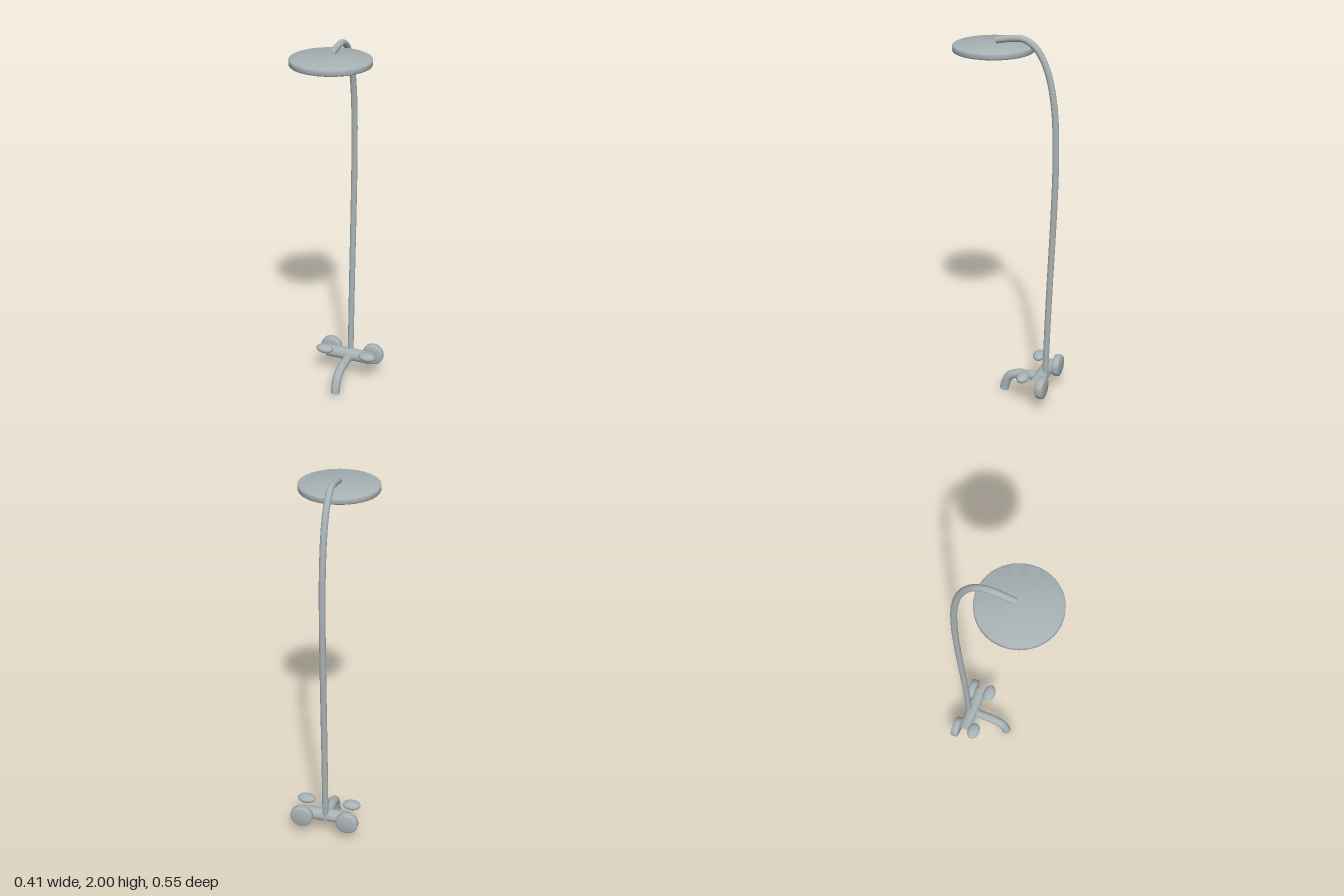
import * as THREE from 'three';
import { toCreasedNormals } from 'three/addons/utils/BufferGeometryUtils.js';

const metal = new THREE.MeshStandardMaterial({ color: 0xa8b2b4 });
metal.name = 'brushed metal';

function part(name, geometry, x = 0, y = 0, z = 0) {
  const mesh = new THREE.Mesh(geometry, metal);
  mesh.name = name;
  mesh.position.set(x, y, z);
  return mesh;
}

// Open pipe swept along a [z, y] path in the centre plane
function pipe(points, radius, segments) {
  const path = new THREE.CatmullRomCurve3(points.map(([z, y]) => new THREE.Vector3(0, y, z)));
  return new THREE.TubeGeometry(path, segments, radius, 24, false);
}

// Solid disc with softened rims, axis along y, centred
function disc(radius, height, bevel, segments) {
  const h = height / 2, k = bevel * 0.3;
  const profile = [
    [0, -h], [radius - bevel, -h], [radius - k, -h + k], [radius, -h + bevel],
    [radius, h - bevel], [radius - k, h - k], [radius - bevel, h], [0, h],
  ].map(([r, y]) => new THREE.Vector2(r, y));
  return toCreasedNormals(new THREE.LatheGeometry(profile, segments), 0.9);
}

export function createModel() {
  const model = new THREE.Group();
  model.name = 'showerColumn';

  // Tall riser that bows backwards and hooks over the head
  const riser = pipe([
    [-0.222, 0.113], [-0.237, 0.6], [-0.257, 1.13], [-0.261, 1.39], [-0.248, 1.66],
    [-0.207, 1.845], [-0.15, 1.943], [-0.085, 1.982], [-0.02, 1.98], [0.057, 1.966],
  ], 0.0165, 120);
  model.add(part('riserPipe', riser));

  // Rain head
  model.add(part('showerHead', disc(0.203, 0.033, 0.006, 72), 0, 1.929, 0.0725));

  // Mixer body, an open sleeve across the wall
  const body = new THREE.CylinderGeometry(0.035, 0.035, 0.266, 32, 1, true).rotateZ(Math.PI / 2);
  model.add(part('mixerBody', body, 0, 0.137, -0.205));

  // Curved bath spout
  const spout = pipe([
    [-0.195, 0.124], [-0.13, 0.123], [-0.074, 0.119], [-0.016, 0.093], [0.008, 0.045], [0.017, 0.007],
  ], 0.025, 40);
  model.add(part('spout', spout));

  // Wall flanges and oval handles, mirrored
  const flange = disc(0.061, 0.041, 0.01, 40).rotateX(Math.PI / 2);
  const handle = new THREE.SphereGeometry(1, 32, 20).scale(0.05, 0.024, 0.035);
  for (const [side, s] of [['left', 1], ['right', -1]]) {
    model.add(part(side + 'WallFlange', flange, s * 0.127, 0.14, -0.2495));
    model.add(part(side + 'Handle', handle, s * 0.127, 0.18, -0.143));
  }
  return model;
}
